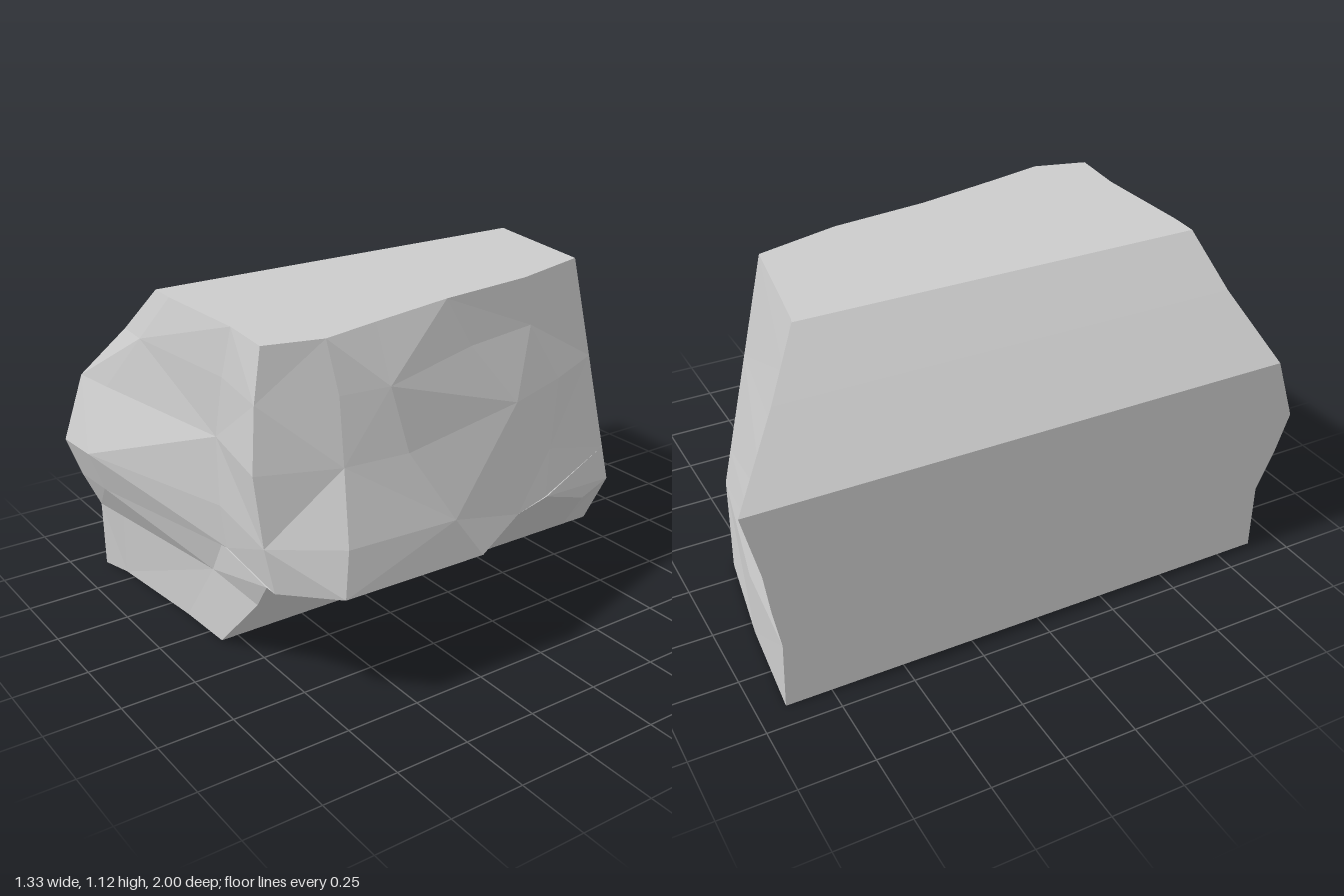
import * as THREE from 'three';

const { lerp } = THREE.MathUtils;
const LEDGE = 0.375;

// Straight cuts: flat left end with sloping shoulder, and the sloping undercut on the right
const leftX = (y) => Math.max(-0.667, -0.3 - (1.115 - y));
const undercutX = (y) => 0.075 + y;

// The undercut reaches further back towards the foot
function undercutSide(y, cornerZ) {
  const endZ = Math.max(-0.7, -0.27 - (LEDGE - y) * 2.2);
  return [0.25, 0.5, 0.75, 1].map((t) => [undercutX(y), lerp(cornerZ, endZ, t)]);
}

// Outline at height y, from front left over the right side to back left.
// front holds depths along the front face, side the [x, z] points of the right side.
function outline(y, front, cornerX, side, backZ) {
  const left = leftX(y);
  const points = front.map((z, i) => [lerp(left, cornerX, [0, 0.15, 0.7, 1][i]), z]);
  points.push(...side);
  points.push([Math.min(undercutX(y), 0.25 - 0.05 * y), 0.2 * y - 0.81]);
  points.push([-0.3 + 0.12 * Math.max(0, y - 0.9), 0.24 * Math.max(0, y - 0.25) - 0.87]);
  points.push([left, backZ]);
  return points.map(([x, z]) => new THREE.Vector3(x, y, z));
}

const foot = (y, front, backZ) =>
  outline(y, front, undercutX(y), undercutSide(y, front[3]), backZ);
const body = (y, front, side, backZ) =>
  outline(y, front, 0.55 - 0.135 * y, side, backZ);

const ledgeFront = [0.95, 0.94, 0.81, 0.84];
const rings = [
  // Foot
  foot(0, [0.89, 0.86, 0.82, 0.81], -0.905),
  foot(0.24, [0.89, 0.87, 0.8, 0.8], -0.9),
  foot(LEDGE, ledgeFront, -0.925),
  // Overhanging body
  body(LEDGE, ledgeFront, [[0.655, 0.69], [0.662, 0.18], [0.5, -0.1], [0.445, -0.27]], -0.925),
  body(0.52, [1, 0.99, 0.82, 0.86], [[0.63, 0.66], [0.65, 0.28], [0.47, -0.12], [0.39, -0.33]], -0.945),
  body(0.745, [0.92, 0.9, 0.81, 0.87], [[0.55, 0.62], [0.57, 0.4], [0.43, -0.14], [0.33, -0.41]], -1),
  body(0.95, [0.83, 0.84, 0.8, 0.84], [[0.5, 0.6], [0.52, 0.43], [0.36, 0], [0.3, -0.3]], -0.81),
  body(1.115, [0.785, 0.79, 0.78, 0.8], [[0.45, 0.61], [0.4, 0.4], [0.33, 0.08], [0.285, -0.28]], -0.67),
];

function loft(rings) {
  const points = [];
  const tri = (a, b, c) => {
    const area = b.clone().sub(a).cross(c.clone().sub(a)).length();
    if (area > 1e-6) points.push(a, b, c);
  };
  // Walls between neighbouring outlines, with alternating diagonals for rough facets
  for (let r = 0; r < rings.length - 1; r++) {
    const low = rings[r], high = rings[r + 1];
    for (let i = 0; i < low.length; i++) {
      const j = (i + 1) % low.length;
      if ((i + r) % 2) {
        tri(low[i], low[j], high[j]);
        tri(low[i], high[j], high[i]);
      } else {
        tri(low[i], low[j], high[i]);
        tri(low[j], high[j], high[i]);
      }
    }
  }
  // Flat bottom and top
  const cap = (ring, up) => {
    const flat = ring.map((p) => new THREE.Vector2(p.x, -p.z));
    for (const [a, b, c] of THREE.ShapeUtils.triangulateShape(flat, [])) {
      if (up) tri(ring[a], ring[b], ring[c]);
      else tri(ring[a], ring[c], ring[b]);
    }
  };
  cap(rings[0], false);
  cap(rings[rings.length - 1], true);
  const geometry = new THREE.BufferGeometry().setFromPoints(points);
  geometry.computeVertexNormals();
  return geometry;
}

export function createModel() {
  const group = new THREE.Group();
  group.name = 'brokenStoneBlock';
  const material = new THREE.MeshStandardMaterial({ color: 0xcccccc, flatShading: true });
  const stone = new THREE.Mesh(loft(rings), material);
  stone.name = 'stone';
  group.add(stone);
  return group;
}
